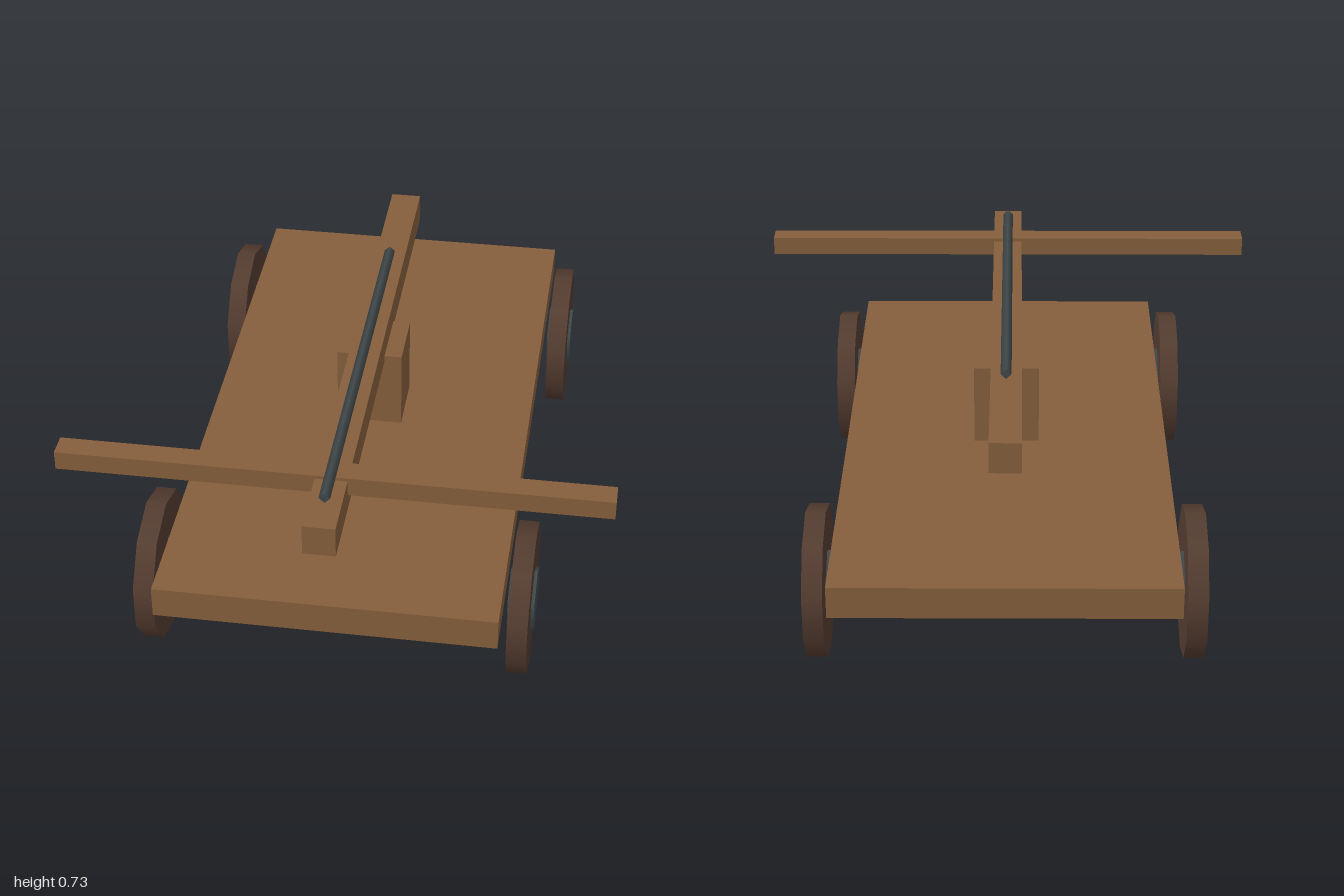
import * as THREE from 'three';

const material = (name, color) => {
  const m = new THREE.MeshStandardMaterial({ color });
  m.name = name;
  return m;
};

export function createModel() {
  const wood = material('wood', 0x865f3c);
  const darkWood = material('dark wood', 0x543c30);
  const iron = material('iron', 0x40484a);
  const model = new THREE.Group();
  model.name = 'wheeledBallista';

  const add = (parent, name, geometry, mat) => {
    const mesh = new THREE.Mesh(geometry, mat);
    mesh.name = name;
    parent.add(mesh);
    return mesh;
  };

  // Box spanning the given ranges, symmetric in x
  const beam = (name, halfX, y0, y1, z0, z1) =>
    add(model, name, new THREE.BoxGeometry(halfX * 2, y1 - y0, z1 - z0), wood)
      .position.set(0, (y0 + y1) / 2, (z0 + z1) / 2);

  beam('deck', 0.487, 0.275, 0.37, -1, 0.95);
  beam('post', 0.098, 0.37, 0.614, -0.12, 0.072);
  beam('stock', 0.046, 0.594, 0.687, -0.757, 1);
  beam('bowArm', 0.78, 0.64, 0.697, 0.72, 0.79);

  // Four-sided bolt lying along the stock
  const bolt = new THREE.CylinderGeometry(0.016, 0.016, 1.27, 4).rotateX(Math.PI / 2);
  add(model, 'bolt', bolt, iron).position.set(0, 0.712, 0.268);

  // Disc with its axis along x and a corner pointing straight up
  const disc = (radius, width, sides) =>
    new THREE.CylinderGeometry(radius, radius, width, sides, 1, false, Math.PI / 2)
      .rotateZ(Math.PI / 2);
  const tyre = disc(0.22, 0.058, 10);
  const hub = disc(0.098, 0.077, 6);

  for (const [end, z] of [['front', 0.66], ['rear', -0.706]]) {
    for (const [side, x] of [['Left', 0.534], ['Right', -0.534]]) {
      const wheel = new THREE.Group();
      wheel.name = `${end}${side}Wheel`;
      add(wheel, 'wheelDisc', tyre, darkWood);
      add(wheel, 'hub', hub, iron);
      wheel.position.set(x, 0.222, z);
      model.add(wheel);
    }
  }
  return model;
}
